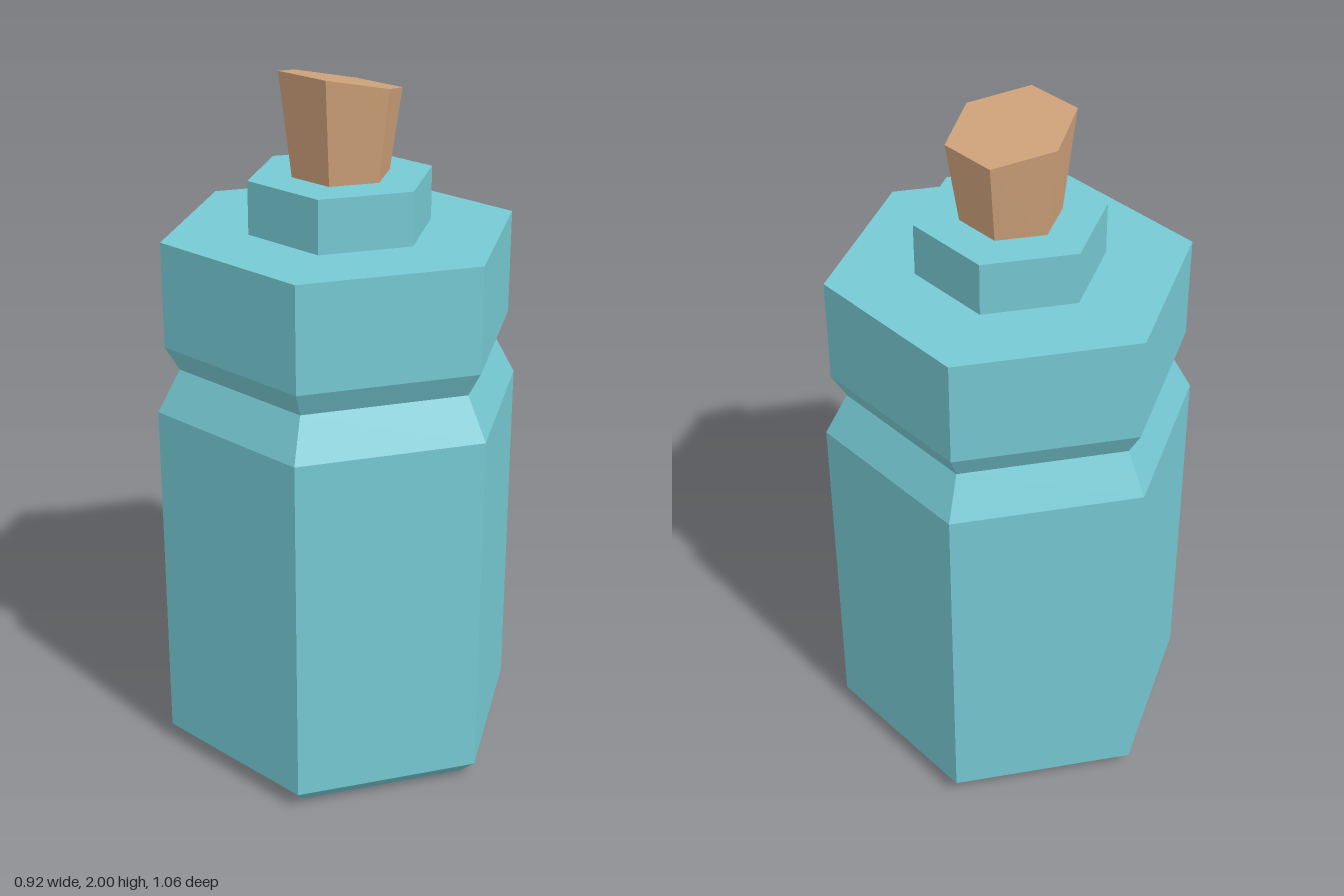
import * as THREE from 'three';

// Six-sided solid from [radius, height] pairs, listed bottom to top, corners on the z axis
function hexSolid(name, profile, material, shape) {
  const points = profile.map(([r, y]) => new THREE.Vector2(r, y));
  const lathe = new THREE.LatheGeometry(points, 6);
  if (shape) shape(lathe.attributes.position);
  const geometry = lathe.toNonIndexed();
  geometry.computeVertexNormals();
  const mesh = new THREE.Mesh(geometry, material);
  mesh.name = name;
  return mesh;
}

export function createModel() {
  const glass = new THREE.MeshStandardMaterial({ color: 0x76c9d3, flatShading: true });
  glass.name = 'teal glass';
  const corkBrown = new THREE.MeshStandardMaterial({ color: 0xd0a37b, flatShading: true });
  corkBrown.name = 'cork brown';

  const model = new THREE.Group();
  model.name = 'corkedBottle';

  // Bottle: bevelled base, tall body, pinched waist, shoulder and neck
  model.add(hexSolid('bottle', [
    [0, 0], [0.475, 0], [0.53, 0.05], [0.53, 1.07], [0.465, 1.19],
    [0.505, 1.26], [0.505, 1.56], [0.262, 1.56], [0.262, 1.71], [0, 1.71],
  ], glass));

  // Cork: flares upward, with its top cut on a slant falling toward +x
  const corkTop = 1.967;
  model.add(hexSolid('cork', [
    [0, 1.68], [0.135, 1.68], [0.173, corkTop], [0, corkTop],
  ], corkBrown, (p) => {
    for (let i = 0; i < p.count; i++) {
      if (p.getY(i) > 1.9) p.setY(i, corkTop - 0.22 * p.getX(i));
    }
  }));

  return model;
}
